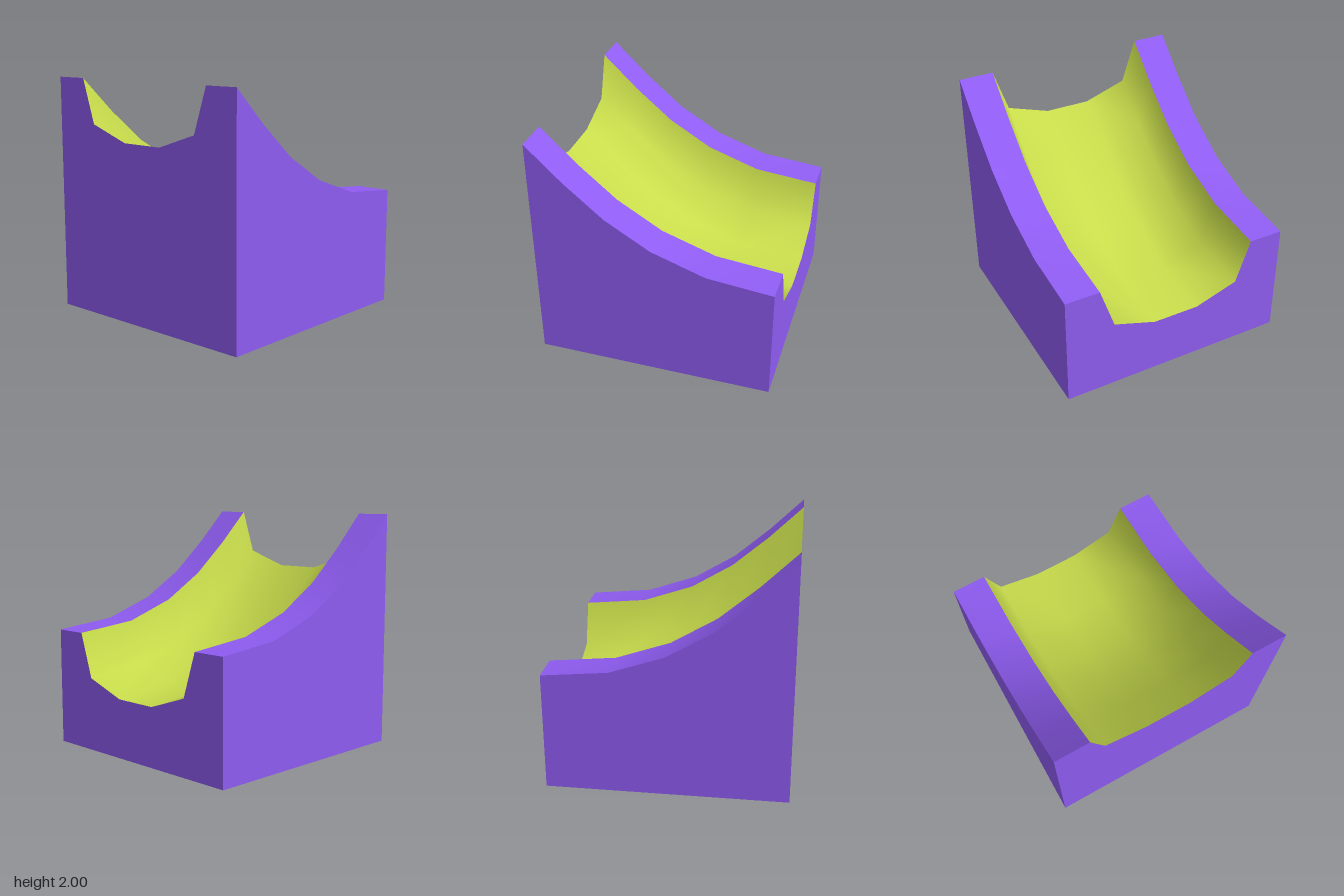
import * as THREE from 'three';
import { mergeGeometries } from 'three/addons/utils/BufferGeometryUtils.js';

// Falling curve of the rails, front to back: [z, y]
const slope = [[1, 2], [0.7, 1.71], [0.375, 1.435], [0, 1.21], [-0.45, 1.055], [-1, 1]];
// Trough cross-section: [x, height relative to the rails]
const trough = [[-0.7, 0], [-0.575, -0.375], [-0.2, -0.5], [0.2, -0.5], [0.575, -0.375], [0.7, 0]];

// Sweeps a cross-section along the slope; section(y) gives [x, y] points
function sweep(section) {
  const positions = [], index = [];
  const n = section(0).length;
  slope.forEach(([z, y], i) => {
    section(y).forEach(([px, py], j) => {
      positions.push(px, py, z);
      if (i < slope.length - 1 && j < n - 1) {
        const a = i * n + j, b = a + 1, c = a + n, d = c + 1;
        index.push(a, b, c, b, d, c);
      }
    });
  });
  const g = new THREE.BufferGeometry();
  g.setAttribute('position', new THREE.Float32BufferAttribute(positions, 3));
  g.setIndex(index);
  g.computeVertexNormals();
  return g;
}

const troughAt = (y) => trough.map(([x, dy]) => [x, y + dy]);

// End wall outline with the trough cut into its top
function endWall(y, z, turn) {
  const outline = [[-1, 0], [1, 0], [1, y], ...troughAt(y).reverse(), [-1, y]];
  const g = new THREE.ShapeGeometry(new THREE.Shape(outline.map((p) => new THREE.Vector2(...p))));
  g.deleteAttribute('uv');
  return g.rotateY(turn).translate(0, 0, z);
}

export function createModel() {
  const group = new THREE.Group();
  group.name = 'curvedRamp';
  const purple = new THREE.MeshStandardMaterial({ color: 0x8f5cf2 });
  const lime = new THREE.MeshStandardMaterial({ color: 0xc8dc4b });

  const add = (name, geometry, material) => {
    const mesh = new THREE.Mesh(geometry, material);
    mesh.name = name;
    group.add(mesh);
  };

  // Solid block: side walls, underside and both ends
  add('block', mergeGeometries([
    sweep((y) => [[-1, 0], [-1, y]]),
    sweep((y) => [[1, y], [1, 0]]),
    sweep(() => [[1, 0], [-1, 0]]),
    endWall(2, 1, 0),
    endWall(1, -1, Math.PI),
  ]), purple);

  // Rail tops either side of the trough
  add('rightRail', sweep((y) => [[-1, y], [-0.7, y]]), purple);
  add('leftRail', sweep((y) => [[0.7, y], [1, y]]), purple);

  // Smooth trough between the rails
  add('trough', sweep(troughAt), lime);
  return group;
}
